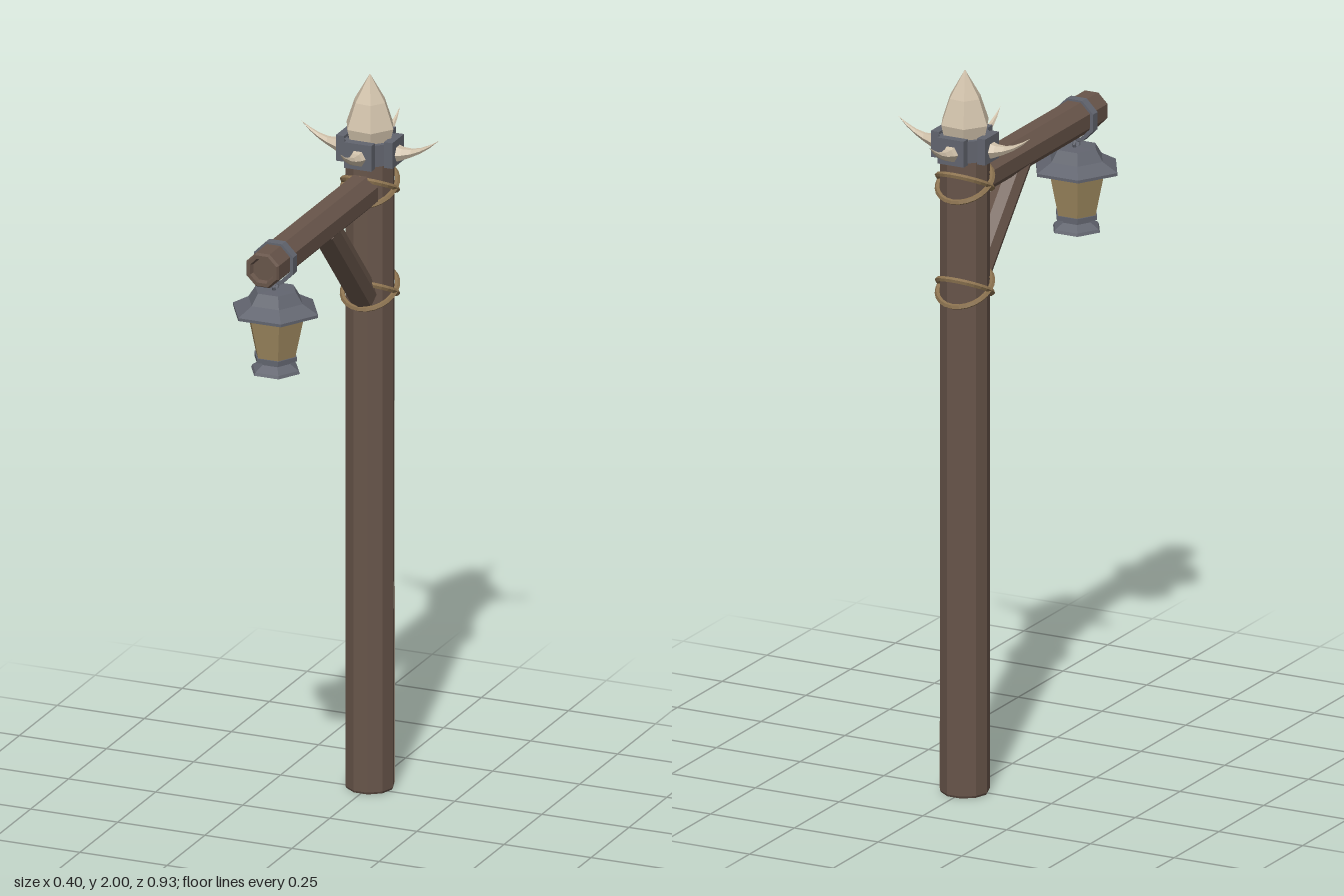
import * as THREE from 'three';

const mat = (name, color) => {
  const m = new THREE.MeshStandardMaterial({ color });
  m.name = name;
  return m;
};

// Split faces so every facet is shaded flat
function flat(geo) {
  const g = geo.index ? geo.toNonIndexed() : geo;
  g.computeVertexNormals();
  return g;
}

// Faceted turned solid; profile runs bottom to top as [radius, y]
function turned(profile, sides, startDeg) {
  const pts = profile.map(([r, y]) => new THREE.Vector2(r, y));
  return flat(new THREE.LatheGeometry(pts, sides, THREE.MathUtils.degToRad(startDeg)));
}

export function createModel() {
  const wood = mat('wood', 0x68554a);
  const paleWood = mat('paleWood', 0xcbbda8);
  const bone = mat('bone', 0xd0c1aa);
  const iron = mat('iron', 0x62656f);
  const rope = mat('rope', 0x8c7350);
  const glass = mat('lanternGlass', 0xa08a60);
  paleWood.side = THREE.DoubleSide;

  const model = new THREE.Group();
  const add = (parent, name, geo, material, x = 0, y = 0, z = 0) => {
    const m = new THREE.Mesh(geo, material);
    m.name = name;
    m.position.set(x, y, z);
    parent.add(m);
    return m;
  };

  // Post: ten-sided trunk, everything on it shares its axis
  const R = 0.066;
  const postGroup = new THREE.Group();
  postGroup.name = 'postAssembly';
  postGroup.position.z = -0.265;
  model.add(postGroup);
  add(postGroup, 'post', turned([[0, 0], [0.063, 0], [R, 0.006], [R, 1.78], [0.06, 1.79], [0, 1.79]], 10, 18), wood);

  // Long pale split in the bark, lying on one facet
  const split = new THREE.Shape([
    [0.008, 0.01], [0.039, 0.01], [0.036, 0.35], [0.032, 0.6], [0.022, 0.95],
    [0.013, 1.35], [0.009, 1.55], [0.006, 1.35], [0.008, 0.95], [0.005, 0.55],
  ].map(([x, y]) => new THREE.Vector2(x, y)));
  const splitMesh = add(postGroup, 'barkSplit', new THREE.ShapeGeometry(split), paleWood, R + 0.0015, 0, -0.0005);
  splitMesh.rotation.y = THREE.MathUtils.degToRad(108);

  // Bone spike on top
  add(postGroup, 'topSpike', turned([[0, 1.79], [0.054, 1.79], [0.07, 1.855], [0.045, 1.925], [0, 2]], 6, 25), bone);

  // Iron collar with four plates, each holding a curved horn
  add(postGroup, 'collar', turned([[0.066, 1.762], [0.074, 1.762], [0.074, 1.822], [0.06, 1.822]], 8, 22.5), iron);
  const hornGeo = new THREE.ConeGeometry(0.028, 0.13, 6, 5);
  hornGeo.rotateZ(-Math.PI / 2);
  const p = hornGeo.attributes.position;
  for (let i = 0; i < p.count; i++) {
    const t = (p.getX(i) + 0.065) / 0.13;
    const k = 1 - 0.3 * Math.sin(Math.PI * t);
    p.setXYZ(i, p.getX(i) + 0.133, p.getY(i) * k + 1.788 + 0.06 * t * t - 0.008 * t, p.getZ(i) * k);
  }
  const horn = flat(hornGeo);
  for (let i = 0; i < 4; i++) {
    const side = new THREE.Group();
    side.name = 'hornMount';
    side.rotation.y = i * Math.PI / 2;
    postGroup.add(side);
    add(side, 'hornPlate', new THREE.BoxGeometry(0.024, 0.072, 0.078), iron, 0.069, 1.793, 0);
    add(side, 'horn', horn, bone);
  }

  // Crossed rope lashings
  for (const y of [1.69, 1.4]) {
    for (const s of [-1, 1]) {
      const pts = [];
      for (let i = 0; i < 16; i++) {
        const a = i / 16 * Math.PI * 2;
        pts.push(new THREE.Vector3(0.073 * Math.cos(a), s * 0.037 * Math.sin(a), 0.071 * Math.sin(a)));
      }
      const curve = new THREE.CatmullRomCurve3(pts, true);
      add(postGroup, 'ropeLashing', flat(new THREE.TubeGeometry(curve, 24, 0.0075, 5, true)), rope, 0, y, 0);
    }
  }

  // Cross arm with a bevelled, hollowed end
  const arm = add(model, 'arm', turned([
    [0, -0.33], [0.051, -0.33], [0.051, 0.322], [0.046, 0.33], [0.036, 0.33], [0.031, 0.318], [0, 0.318],
  ], 8, 22.5), wood, 0, 1.687, 0.12);
  arm.rotation.x = Math.PI / 2;

  // Diagonal brace between post and arm
  const lo = new THREE.Vector3(0, 1.385, -0.232);
  const hi = new THREE.Vector3(0, 1.665, 0.028);
  const dir = hi.clone().sub(lo);
  const brace = add(model, 'brace', flat(new THREE.CylinderGeometry(0.04, 0.04, dir.length(), 8)), wood);
  brace.position.copy(lo).add(hi).multiplyScalar(0.5);
  brace.quaternion.setFromUnitVectors(new THREE.Vector3(0, 1, 0), dir.normalize());

  // Iron band round the arm
  const band = add(model, 'armBand', turned([
    [0.05, -0.013], [0.061, -0.013], [0.061, 0.013], [0.05, 0.013],
  ], 8, 22.5), iron, 0, 1.683, 0.358);
  band.rotation.x = Math.PI / 2;

  // Hanging six-sided lantern
  const lantern = new THREE.Group();
  lantern.name = 'lantern';
  lantern.position.z = 0.358;
  model.add(lantern);
  const link = add(lantern, 'hangingLink', flat(new THREE.TorusGeometry(0.014, 0.005, 5, 8)), iron, 0, 1.616, 0);
  link.rotation.y = Math.PI / 2;
  const parts = [
    ['lanternRoof', [[0, 1.54], [0.08, 1.535], [0.122, 1.543], [0.122, 1.551], [0.078, 1.575], [0.058, 1.606], [0, 1.607]], iron],
    ['lanternGlass', [[0.056, 1.42], [0.08, 1.53], [0.08, 1.54]], glass],
    ['lanternBase', [[0, 1.378], [0.07, 1.378], [0.066, 1.386], [0.042, 1.402], [0.042, 1.408], [0.061, 1.412], [0.061, 1.424], [0, 1.424]], iron],
  ];
  for (const [name, profile, material] of parts) add(lantern, name, turned(profile, 6, 30), material);

  return model;
}
